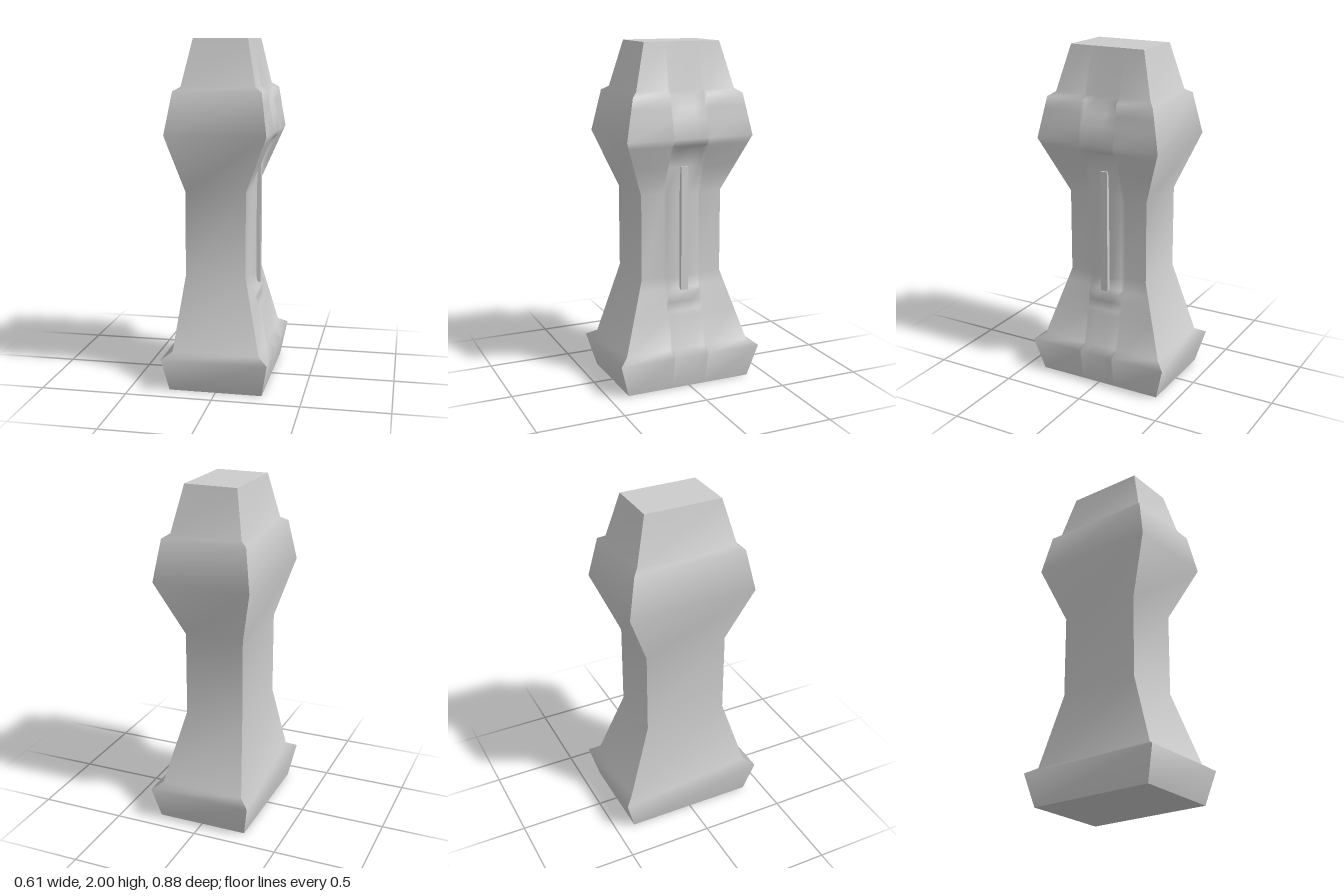
import * as THREE from 'three';

// Profile rows: [y, half width on the plain side, half width on the panel side, half depth]
const PROFILE = [
  [0, 0.27, 0.268, 0.385], [0.195, 0.307, 0.305, 0.44], [0.23, 0.25, 0.25, 0.385],
  [0.65, 0.2, 0.15, 0.25], [1.14, 0.2, 0.15, 0.25], [1.47, 0.29, 0.285, 0.385],
  [1.71, 0.25, 0.25, 0.335], [1.735, 0.21, 0.21, 0.3], [2, 0.155, 0.155, 0.23],
];

// Middle of the panel side: [y, x]
const PANEL = [
  [0, 0.268], [0.195, 0.305], [0.23, 0.25], [0.42, 0.218], [0.45, 0.2], [0.5, 0.193],
  [0.555, 0.21], [0.58, 0.178], [0.65, 0.175], [1.14, 0.175], [1.3, 0.185], [1.4, 0.205],
  [1.43, 0.27], [1.47, 0.285], [1.58, 0.275], [1.64, 0.235], [1.71, 0.22], [1.735, 0.207], [2, 0.155],
];

// Linear lookup in a table sorted by its first column
function lookup(table, y, column) {
  let i = 1;
  while (i < table.length - 1 && table[i][0] < y) i++;
  const a = table[i - 1], b = table[i];
  return THREE.MathUtils.lerp(a[column], b[column], (y - a[0]) / (b[0] - a[0]));
}

// Smooth skin through rows of points running left to right, bottom to top
function skin(rows) {
  const n = rows[0].length, index = [];
  for (let j = 0; j < rows.length - 1; j++) {
    for (let i = 0; i < n - 1; i++) {
      const a = j * n + i;
      index.push(a, a + 1, a + n + 1, a, a + n + 1, a + n);
    }
  }
  const geometry = new THREE.BufferGeometry();
  geometry.setAttribute('position', new THREE.Float32BufferAttribute(rows.flat(2), 3));
  geometry.setIndex(index);
  geometry.computeVertexNormals();
  return geometry;
}

export function createModel() {
  const group = new THREE.Group();
  const stone = new THREE.MeshStandardMaterial({ color: 0xcccccc });
  stone.name = 'paleGrey';
  const add = (name, geometry) => {
    const mesh = new THREE.Mesh(geometry, stone);
    mesh.name = name;
    group.add(mesh);
    return mesh;
  };

  // Three plain sides, each smooth from bottom to top with hard corners between
  add('frontSide', skin(PROFILE.map(([y, p, q, d]) => [[-p, y, d], [q, y, d]])));
  add('backSide', skin(PROFILE.map(([y, p, q, d]) => [[q, y, -d], [-p, y, -d]])));
  add('plainSide', skin(PROFILE.map(([y, p, , d]) => [[-p, y, -d], [-p, y, d]])));

  // Panel side: the rim follows the corners, the middle follows the panel profile
  const columns = [[0.113, 0], [0.1, 0.8], [0.04, 1]];
  add('panelSide', skin(PANEL.map(([y, middle]) => {
    const rim = lookup(PROFILE, y, 2), depth = lookup(PROFILE, y, 3);
    const half = [[rim, y, depth],
      ...columns.map(([z, w]) => [THREE.MathUtils.lerp(rim, middle, w), y, z])];
    return [...half, ...half.map(([x, h, z]) => [x, h, -z]).reverse()];
  })));

  // Flat top and base
  const cap = ([y, p, q, d], s) => skin([[[-p, y, s * d], [q, y, s * d]], [[-p, y, -s * d], [q, y, -s * d]]]);
  add('top', cap(PROFILE[PROFILE.length - 1], 1));
  add('base', cap(PROFILE[0], -1));

  // Slim upright bar on the panel
  add('panelBar', new THREE.BoxGeometry(0.05, 0.73, 0.044)).position.set(0.174, 0.935, 0);

  return group;
}
